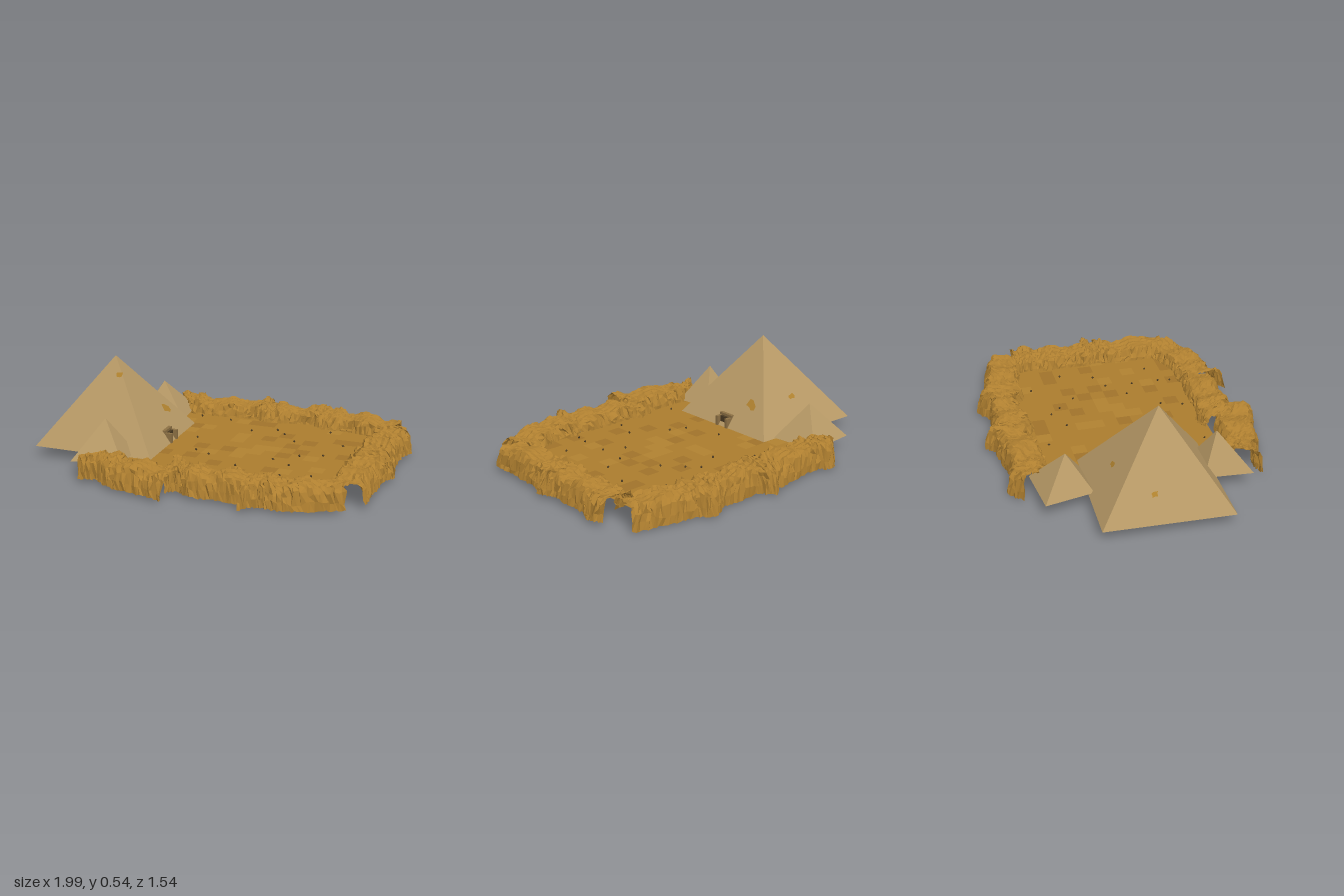
import * as THREE from 'three';

const mat = (name, color, side = THREE.FrontSide) => {
  const m = new THREE.MeshStandardMaterial({ color, side });
  m.name = name;
  return m;
};
const hash = (a, b, c) => {
  const s = Math.sin(a * 127.1 + b * 311.7 + c * 74.7) * 43758.5453;
  return (s - Math.floor(s)) * 2 - 1;
};
const flat = (positions, index) => {
  let g = new THREE.BufferGeometry();
  g.setAttribute('position', new THREE.Float32BufferAttribute(positions, 3));
  g.setIndex(index);
  g = g.toNonIndexed();
  g.computeVertexNormals();
  return g;
};

// Cliff cross-section from outer foot to inner foot: [fraction across, height, roughness]
const PROFILE = [
  [0, 0.02, 0.006], [0.03, 0.06, 0.012], [0.08, 0.105, 0.014], [0.14, 0.13, 0.013],
  [0.22, 0.145, 0.008], [0.3, 0.14, 0.006], [0.38, 0.143, 0.006], [0.46, 0.137, 0.006],
  [0.54, 0.14, 0.006], [0.62, 0.134, 0.006], [0.7, 0.138, 0.006], [0.78, 0.134, 0.008],
  [0.86, 0.135, 0.013], [0.92, 0.11, 0.014], [0.97, 0.085, 0.01], [1, 0.06, 0.004],
];

// Rock shell lofted between an outer and an inner edge
function cliff(outer, inner, seed, foot) {
  const curve = (pts) => new THREE.CatmullRomCurve3(pts.map(([x, z]) => new THREE.Vector3(x, 0, z)));
  const a = curve(outer), b = curve(inner), n = 44, m = PROFILE.length;
  const pos = [], idx = [], p = new THREE.Vector3();
  for (let i = 0; i <= n; i++) {
    const u = i / n, o = a.getPoint(u), q = b.getPoint(u);
    const swell = 0.012 * Math.sin(u * 19 + seed) + 0.014 * Math.exp(-(((u - 0.15) / 0.1) ** 2));
    PROFILE.forEach(([t, h, r], j) => {
      p.lerpVectors(o, q, t);
      const brick = hash(Math.floor((i + (j % 2)) / 2), j, seed);
      const rise = h > 0.1 ? swell : 0;
      const base = j === 0 ? foot + 0.012 * Math.abs(hash(i, 3, seed)) : h;
      const y = Math.max(0, base + rise + (j === 0 ? 0 : r * brick));
      pos.push(p.x + r * 0.8 * hash(i, j, seed + 5), y, p.z + r * 0.8 * hash(i, j, seed + 9));
      if (i < n && j < m - 1) {
        const k = i * m + j;
        idx.push(k, k + m, k + 1, k + 1, k + m, k + m + 1);
      }
    });
  }
  return flat(pos, idx);
}

// Corners run front-left, front-right, back-right, back-left as [x, z]
function pyramid(corners, baseY, apex) {
  const pos = [...corners.flatMap(([x, z]) => [x, baseY, z]), ...apex];
  return flat(pos, [0, 1, 4, 1, 2, 4, 2, 3, 4, 3, 0, 4, 0, 3, 2, 0, 2, 1]);
}

// Irregular thin stain lying on one pyramid face
function stain(corners, baseY, apex, face, t, h, size, material) {
  const v = ([x, z]) => new THREE.Vector3(x, baseY, z);
  const c0 = v(corners[face]), c1 = v(corners[(face + 1) % 4]), top = new THREE.Vector3(...apex);
  const normal = c1.clone().sub(c0).cross(top.clone().sub(c0)).normalize();
  const g = new THREE.CircleGeometry(size, 9);
  const p = g.attributes.position;
  for (let i = 1; i < p.count - 1; i++) {
    const s = 1 + 0.35 * hash(i, face, 2);
    p.setXY(i, p.getX(i) * s, p.getY(i) * s * 0.75);
  }
  p.setXY(p.count - 1, p.getX(1), p.getY(1));
  const mesh = new THREE.Mesh(g, material);
  mesh.name = 'sandStain';
  mesh.position.copy(c0).lerp(c1, t).lerp(top, h).addScaledVector(normal, 0.002);
  mesh.quaternion.setFromUnitVectors(new THREE.Vector3(0, 0, 1), normal);
  return mesh;
}

export function createModel() {
  const root = new THREE.Group();
  root.name = 'desertArena';
  const rock = mat('rock', 0xb08030, THREE.DoubleSide);
  const sand = [
    mat('sand', 0xab7c2d, THREE.DoubleSide),
    mat('darkSand', 0xa0732a, THREE.DoubleSide),
    mat('paleSand', 0xb08131, THREE.DoubleSide),
  ];
  const stone = mat('pyramidStone', 0xb69865);
  const stainMat = mat('stain', 0xb0822f);
  const doorMat = mat('doorStone', 0x8c7044);
  const dark = mat('pebble', 0x4a3a22);
  const add = (name, geometry, material, x = 0, y = 0, z = 0) => {
    const mesh = new THREE.Mesh(geometry, material);
    mesh.name = name;
    mesh.position.set(x, y, z);
    root.add(mesh);
    return mesh;
  };

  // Patchwork sand floor
  const floor = new THREE.PlaneGeometry(1.28, 1.04, 16, 13).rotateX(-Math.PI / 2);
  floor.clearGroups();
  for (let i = 0; i < 16 * 13; i++) {
    const r = hash(i, Math.floor(i / 16), 4);
    floor.addGroup(i * 6, 6, r > 0.72 ? 1 : r < -0.75 ? 2 : 0);
  }
  add('sandFloor', floor, sand, 0.16, 0.075, -0.05);

  // Back, front and side cliffs: [outer edge, inner edge]
  const back = [
    [[[-0.52, -0.66], [-0.43, -0.73], [-0.35, -0.69], [-0.15, -0.71], [0.02, -0.73]],
      [[-0.46, -0.56], [-0.4, -0.5], [-0.28, -0.49], [-0.1, -0.5], [0.02, -0.53]]],
    [[[-0.02, -0.71], [0.04, -0.77], [0.1, -0.71], [0.28, -0.7], [0.44, -0.68]],
      [[0.0, -0.53], [0.07, -0.48], [0.16, -0.49], [0.28, -0.52], [0.4, -0.53]]],
    [[[0.35, -0.69], [0.45, -0.75], [0.53, -0.7], [0.7, -0.67], [0.89, -0.62]],
      [[0.37, -0.52], [0.43, -0.47], [0.55, -0.48], [0.7, -0.45], [0.85, -0.43]]],
  ];
  const front = [
    [[[-0.6, 0.63], [-0.5, 0.61], [-0.4, 0.68], [-0.22, 0.72], [-0.06, 0.765]],
      [[-0.5, 0.48], [-0.42, 0.45], [-0.33, 0.49], [-0.15, 0.5], [-0.02, 0.57]]],
    [[[-0.09, 0.65], [-0.03, 0.61], [0.04, 0.66], [0.2, 0.66], [0.36, 0.66]],
      [[-0.14, 0.45], [-0.07, 0.42], [0.04, 0.45], [0.2, 0.45], [0.38, 0.46]]],
    [[[0.35, 0.74], [0.43, 0.67], [0.54, 0.68], [0.7, 0.63], [0.86, 0.55]],
      [[0.35, 0.5], [0.41, 0.45], [0.52, 0.46], [0.65, 0.42], [0.78, 0.36]]],
  ];
  const side = [
    [[[0.95, -0.46], [0.985, -0.38], [0.95, -0.3], [0.95, -0.15], [0.94, 0.0]],
      [[0.74, -0.46], [0.75, -0.38], [0.73, -0.28], [0.74, -0.15], [0.73, 0.0]]],
    [[[0.95, -0.04], [0.985, 0.02], [0.95, 0.1], [0.94, 0.27], [0.94, 0.48]],
      [[0.73, -0.05], [0.75, 0.03], [0.73, 0.12], [0.73, 0.27], [0.73, 0.48]]],
  ];
  [['backCliff', back, 0.005], ['frontCliff', front, 0.015], ['sideCliff', side, 0.02]].forEach(([name, list, foot], s) =>
    list.forEach(([o, i], k) => add(name, cliff(o, i, s * 7 + k * 3 + 1, foot), rock)));

  // Great pyramid with two smaller ones at its flanks
  const pyramids = [
    ['greatPyramid', [[-1, 0.35], [-0.29, 0.36], [-0.3, -0.33], [-0.98, -0.35]], 0.068, [-0.64, 0.55, 0.03],
      [[0, 0.88, 0.81, 0.022], [1, 0.8, 0.31, 0.035], [2, 0.5, 0.35, 0.02], [3, 0.37, 0.26, 0.022]]],
    ['backPyramid', [[-0.65, -0.31], [-0.38, -0.33], [-0.41, -0.61], [-0.71, -0.58]], 0.085, [-0.545, 0.28, -0.44], []],
    ['frontPyramid', [[-0.68, 0.55], [-0.4, 0.49], [-0.42, 0.27], [-0.66, 0.28]], 0.085, [-0.545, 0.295, 0.38], []],
  ];
  for (const [name, corners, y, apex, stains] of pyramids) {
    add(name, pyramid(corners, y, apex), stone);
    for (const [face, t, h, size] of stains) root.add(stain(corners, y, apex, face, t, h, size, stainMat));
  }

  // Doorway facing the arena
  for (const z of [-0.025, 0.05]) add('doorPost', new THREE.BoxGeometry(0.065, 0.06, 0.018), doorMat, -0.325, 0.1, z);
  add('doorLintel', new THREE.BoxGeometry(0.03, 0.016, 0.095), doorMat, -0.345, 0.136, 0.0125);
  add('doorOpening', new THREE.BoxGeometry(0.02, 0.06, 0.06), dark, -0.325, 0.1, 0.0125);

  // Scattered pebbles
  const pebble = new THREE.OctahedronGeometry(0.008);
  const spots = [
    [-0.31, -0.46], [-0.12, -0.44], [0.06, -0.3], [0.2, -0.36], [0.26, -0.3], [0.35, -0.2], [0.5, -0.42],
    [0.63, -0.22], [0.57, -0.03], [0.45, 0.02], [0.33, 0.12], [0.17, 0.28], [-0.03, 0.16], [-0.12, 0.12],
    [-0.19, -0.08], [-0.26, 0.41], [0.13, 0.4], [0.44, 0.34], [0.43, 0.41], [0.6, 0.3], [0.44, 0.18],
  ];
  for (const [x, z] of spots) add('pebble', pebble, dark, x, 0.081, z);

  return root;
}
